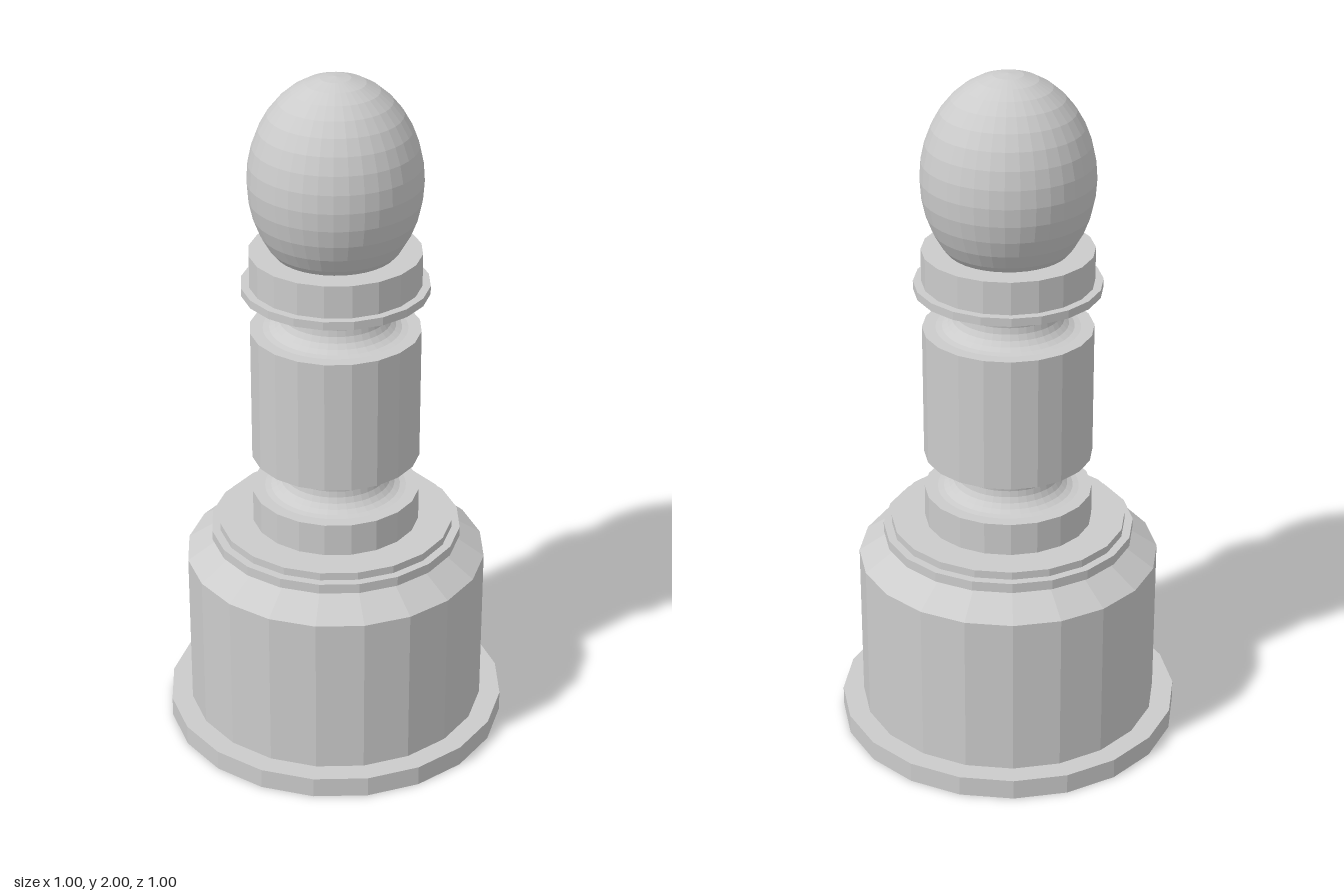
import * as THREE from 'three';

const SIDES = 20;
const material = new THREE.MeshStandardMaterial({ color: 0xcccccc, flatShading: true });

export function createModel() {
  const group = new THREE.Group();

  const add = (name, geometry, y = 0) => {
    const mesh = new THREE.Mesh(geometry, material);
    mesh.name = name;
    mesh.position.y = y;
    group.add(mesh);
    return mesh;
  };

  // Turned section from y0 to y1, optionally tapering
  const disc = (name, y0, y1, rBottom, rTop = rBottom) =>
    add(name, new THREE.CylinderGeometry(rTop, rBottom, y1 - y0, SIDES), (y0 + y1) / 2);

  // Concave neck: a half-round groove swept around the axis
  const neck = (name, y0, y1) => {
    const r = (y1 - y0) / 2;
    const points = [];
    for (let i = 0; i <= 10; i++) {
      const a = -Math.PI / 2 + (Math.PI * i) / 10;
      points.push(new THREE.Vector2(0.205 - r * Math.cos(a), r * Math.sin(a)));
    }
    add(name, new THREE.LatheGeometry(points, SIDES * 2), (y0 + y1) / 2);
  };

  // Base and drum
  disc('foot', 0, 0.06, 0.5);
  disc('drum', 0.06, 0.54, 0.438);
  disc('drumShoulder', 0.54, 0.603, 0.438, 0.345);
  disc('lowerStep', 0.603, 0.632, 0.365);
  disc('upperStep', 0.632, 0.655, 0.341);

  // Stem with two grooves
  disc('stemPlinth', 0.655, 0.752, 0.243);
  neck('lowerNeck', 0.752, 0.866);
  disc('stem', 0.866, 1.259, 0.243);
  neck('upperNeck', 1.259, 1.376);

  // Collar
  disc('collarRim', 1.376, 1.4, 0.266);
  disc('collar', 1.4, 1.495, 0.243);

  // Egg-shaped head
  add('head', new THREE.SphereGeometry(0.243, 36, 18), 1.703).scale.y = 0.297 / 0.243;

  return group;
}
